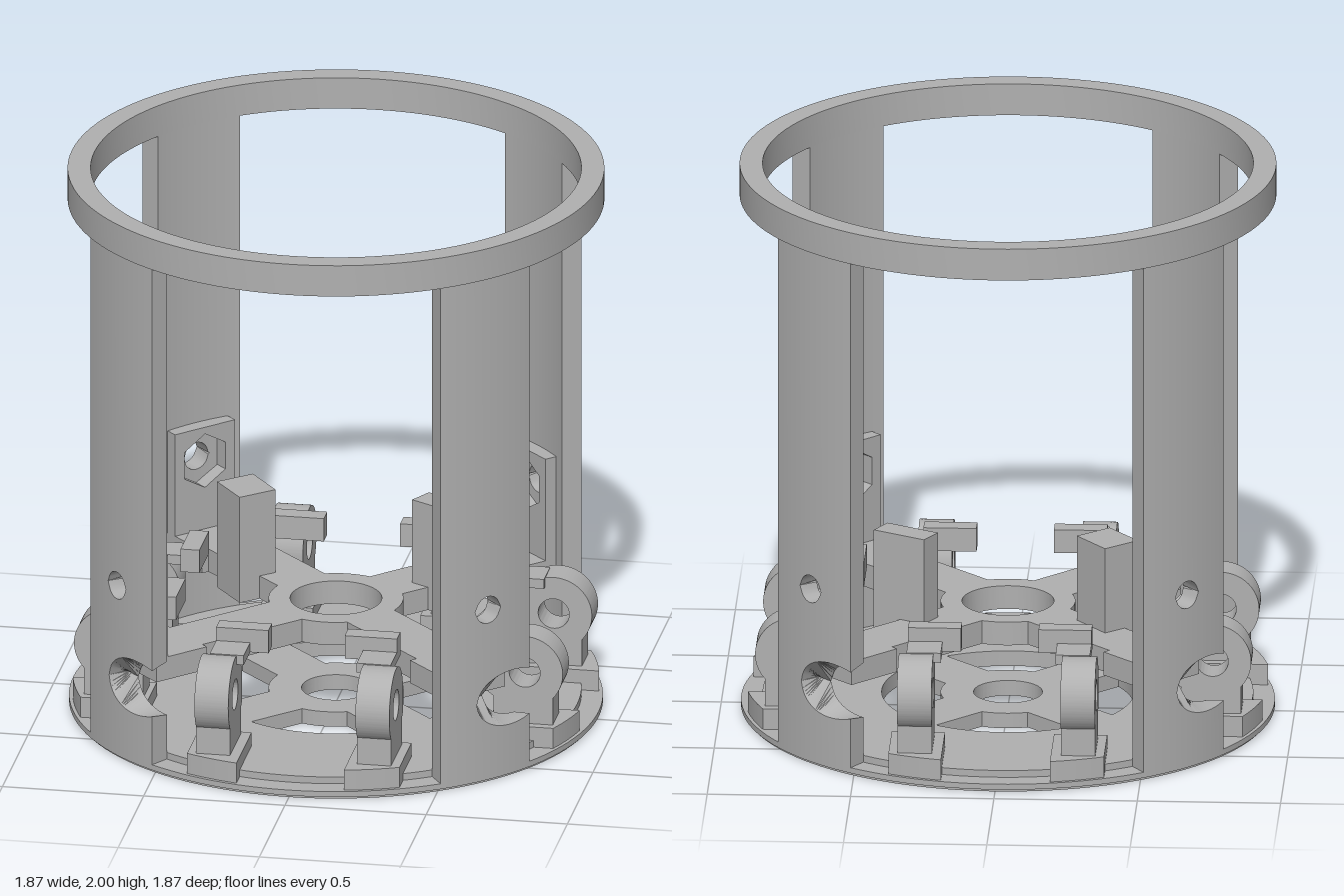
import * as THREE from 'three';
import { toCreasedNormals } from 'three/addons/utils/BufferGeometryUtils.js';

const metal = new THREE.MeshStandardMaterial({ color: 0xb0b0b0 });
metal.name = 'light grey';

function mesh(name, geometry) {
  const m = new THREE.Mesh(toCreasedNormals(geometry, 0.5), metal);
  m.name = name;
  return m;
}

const extrude = (shape, depth) =>
  new THREE.ExtrudeGeometry(shape, { depth, bevelEnabled: false, curveSegments: 64 });

// Horizontal plate from a plan drawn in (x, z)
const slab = (name, shape, y0, y1) =>
  mesh(name, extrude(shape, y1 - y0).rotateX(Math.PI / 2).translate(0, y1, 0));

const box = (name, x0, x1, y0, y1, z0, z1) =>
  mesh(name, new THREE.BoxGeometry(x1 - x0, y1 - y0, z1 - z0)
    .translate((x0 + x1) / 2, (y0 + y1) / 2, (z0 + z1) / 2));

const circle = (r, x = 0, y = 0) => new THREE.Path().absarc(x, y, r, 0, Math.PI * 2);

function disc(r, holes) {
  const s = new THREE.Shape().absarc(0, 0, r, 0, Math.PI * 2);
  s.holes.push(...holes);
  return s;
}

// Four windows between the spokes of the base, plus the hub hole
function baseHoles() {
  const holes = [circle(0.12)];
  const a = Math.asin(0.1 / 0.44), b = Math.asin(0.1 / 0.235);
  for (let k = 0; k < 4; k++) {
    const s = Math.PI / 4 + k * Math.PI / 2, e = s + Math.PI / 2;
    holes.push(new THREE.Path().absarc(0, 0, 0.44, s + a, e - a, false)
      .absarc(0, 0, 0.235, e - b, s + b, true).closePath());
  }
  return holes;
}

// Cross with a round hub and widened arm ends
function crossShape() {
  const arm = [[0.213, -0.1], [0.636, -0.1], [0.636, -0.127], [0.85, -0.127],
    [0.85, 0.127], [0.636, 0.127], [0.636, 0.1], [0.213, 0.1]];
  const pts = [];
  for (let k = 0; k < 4; k++) {
    const t = Math.PI / 4 + k * Math.PI / 2, c = Math.cos(t), s = Math.sin(t);
    for (const [u, v] of arm) pts.push(new THREE.Vector2(u * c - v * s, u * s + v * c));
    for (let i = 1; i < 8; i++) {
      const q = t + 0.44 + (Math.PI / 2 - 0.88) * i / 8;
      pts.push(new THREE.Vector2(0.235 * Math.cos(q), 0.235 * Math.sin(q)));
    }
  }
  const shape = new THREE.Shape(pts);
  shape.holes.push(circle(0.16));
  return shape;
}

// Curved upright in thin columns, with a side notch and a small round hole
function pillarGeometry() {
  const R0 = 0.855, R1 = 0.93, N = 56, mid = Math.PI / 4, half = 0.204;
  const pos = [];
  const notch = (r, t) => Math.sqrt(Math.max(0, 0.01 - (r * Math.cos(t) - 0.725) ** 2));
  const hole = (r, t) => Math.sqrt(Math.max(0, 0.0025 - (r * (t - mid)) ** 2));
  const pieces = [
    [() => 0.02, (r, t) => 0.295 - notch(r, t)],
    [(r, t) => 0.295 + notch(r, t), (r, t) => 0.645 - hole(r, t)],
    [(r, t) => 0.645 + hole(r, t), () => 1.9],
  ];
  const quad = (a, b, c, d) => pos.push(...a, ...b, ...c, ...a, ...c, ...d);
  for (let i = 0; i < N; i++) {
    const t0 = mid - half + 2 * half * i / N, t1 = t0 + 2 * half / N;
    for (const [lo, hi] of pieces) {
      const P = (r, t, f) => [r * Math.cos(t), f(r, t), r * Math.sin(t)];
      quad(P(R1, t0, lo), P(R1, t0, hi), P(R1, t1, hi), P(R1, t1, lo));
      quad(P(R0, t1, lo), P(R0, t1, hi), P(R0, t0, hi), P(R0, t0, lo));
      quad(P(R0, t0, hi), P(R0, t1, hi), P(R1, t1, hi), P(R1, t0, hi));
      quad(P(R1, t0, lo), P(R1, t1, lo), P(R0, t1, lo), P(R0, t0, lo));
      if (i === 0) quad(P(R0, t0, lo), P(R0, t0, hi), P(R1, t0, hi), P(R1, t0, lo));
      if (i === N - 1) quad(P(R1, t1, lo), P(R1, t1, hi), P(R0, t1, hi), P(R0, t1, lo));
    }
  }
  const g = new THREE.BufferGeometry();
  g.setAttribute('position', new THREE.Float32BufferAttribute(pos, 3));
  return g;
}

// Plate with a hexagonal nut pocket on the inside of an upright
function nutHolder() {
  const s = new THREE.Shape([[-0.127, 0.38], [0.127, 0.38], [0.127, 0.77], [-0.127, 0.77]]
    .map(p => new THREE.Vector2(...p)));
  const hex = [];
  for (let i = 0; i < 6; i++) {
    const a = i * Math.PI / 3 + Math.PI / 6;
    hex.push(new THREE.Vector2(0.1 * Math.cos(a), 0.645 + 0.1 * Math.sin(a)));
  }
  s.holes.push(new THREE.Path(hex));
  const m = mesh('nutHolder', extrude(s, 0.07).translate(0, 0, 0.8));
  m.rotation.y = Math.PI / 4;
  return m;
}

// Bearing lug on a foot with a bracket behind it; side is +1 or -1
function lug(side) {
  const g = new THREE.Group();
  g.name = 'lug';
  const span = (a, b) => side > 0 ? [a, b] : [-b, -a];

  const ear = new THREE.Shape().moveTo(0.62, 0.09).lineTo(0.83, 0.09).lineTo(0.83, 0.204)
    .absarc(0.73, 0.295, 0.135, -0.738, Math.PI, false).lineTo(0.595, 0.22).lineTo(0.62, 0.2);
  ear.holes.push(circle(0.055, 0.73, 0.295));
  g.add(mesh('ear', extrude(ear, 0.12).rotateY(-Math.PI / 2)
    .translate(span(0.225, 0.345)[1], 0, 0)));

  const [f0, f1] = span(0.19, 0.376);
  const foot = new THREE.Shape().moveTo(f0, 0.6).lineTo(f1, 0.6)
    .absarc(0, 0, 0.917, Math.acos(f1 / 0.917), Math.acos(f0 / 0.917), false).closePath();
  g.add(slab('foot', foot, 0.025, 0.105));

  g.add(box('bracket', ...span(0.135, 0.32), 0.395, 0.48, 0.508, 0.575));
  g.add(box('bracketLeg', ...span(0.2, 0.32), 0.395, 0.43, 0.57, 0.7));
  return g;
}

// Upright block from four plan corners in (x, z)
const post = (name, corners) =>
  slab(name, new THREE.Shape(corners.map(p => new THREE.Vector2(...p))), 0.305, 0.7);

export function createModel() {
  const model = new THREE.Group();
  model.name = 'roundFrame';

  // Base disc with a slightly smaller bottom edge and a raised floor
  const holes = baseHoles();
  model.add(slab('baseEdge', disc(0.92, holes), 0, 0.01));
  model.add(slab('baseDisc', disc(0.93, holes), 0.01, 0.03));
  model.add(slab('baseFloor', disc(0.855, holes), 0.03, 0.055));

  // Cross plate and its two posts
  model.add(slab('crossPlate', crossShape(), 0.305, 0.39));
  model.add(post('leftPost', [[0.28, -0.27], [0.46, -0.17], [0.415, -0.09], [0.235, -0.19]]));
  model.add(post('rightPost', [[-0.465, -0.24], [-0.355, -0.335], [-0.25, -0.2], [-0.36, -0.105]]));

  // Top ring
  model.add(slab('topRing', disc(0.935, [circle(0.855)]), 1.885, 2));

  // Uprights, nut holders and lugs repeat on each quarter
  for (let k = 0; k < 4; k++) {
    const quarter = new THREE.Group();
    quarter.name = 'quarter' + (k + 1);
    quarter.add(mesh('upright', pillarGeometry()), nutHolder(), lug(1), lug(-1));
    quarter.rotation.y = k * Math.PI / 2;
    model.add(quarter);
  }
  return model;
}
